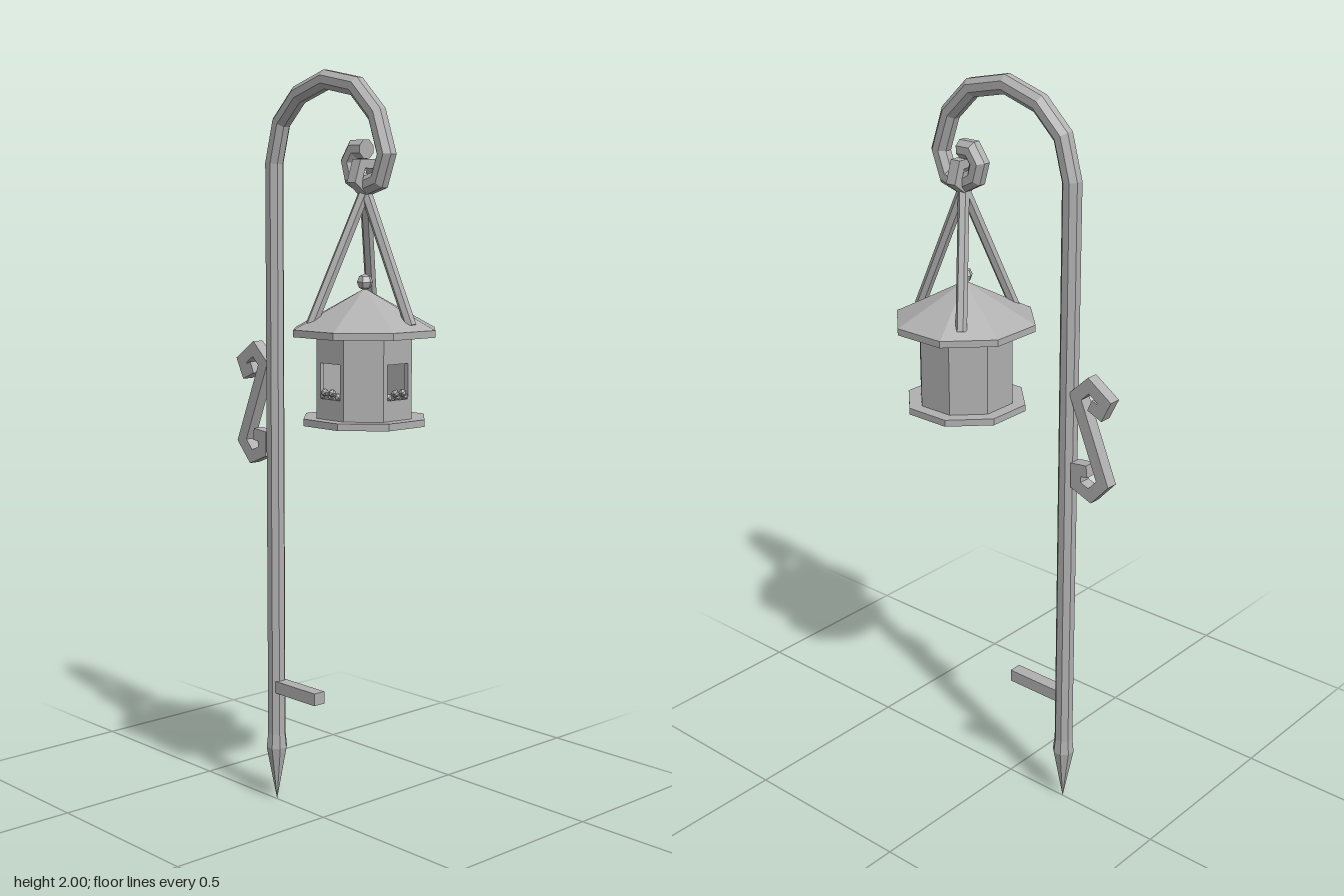
import * as THREE from 'three';

const metal = new THREE.MeshStandardMaterial({ color: 0xb0b0b0, flatShading: true });
metal.name = 'grey metal';

function add(parent, name, geometry, x = 0, y = 0, z = 0) {
  const mesh = new THREE.Mesh(geometry, metal);
  mesh.name = name;
  mesh.position.set(x, y, z);
  parent.add(mesh);
  return mesh;
}

// Sweeps a regular section along a flat path in the xy plane, with mitred corners
function sweep(path, sides, flatRadius) {
  const pts = path.map(([x, y]) => new THREE.Vector2(x, y));
  const radius = flatRadius / Math.cos(Math.PI / sides);
  const last = pts.length - 1;
  const pos = [], index = [];
  pts.forEach((p, i) => {
    const before = p.clone().sub(pts[Math.max(i - 1, 0)]).normalize();
    const after = pts[Math.min(i + 1, last)].clone().sub(p).normalize();
    const t = before.clone().add(after).normalize();
    const miter = 1 / Math.max(t.dot(i < last ? after : before), 0.6);
    for (let j = 0; j < sides; j++) {
      const a = ((j + 0.5) / sides) * Math.PI * 2;
      const n = Math.cos(a) * radius * miter;
      pos.push(p.x - t.y * n, p.y + t.x * n, Math.sin(a) * radius);
    }
  });
  for (let i = 0; i < last; i++) {
    for (let j = 0; j < sides; j++) {
      const k = (j + 1) % sides;
      const a = i * sides + j, b = i * sides + k;
      index.push(a, b, b + sides, a, b + sides, a + sides);
    }
  }
  const end = last * sides;
  for (let j = 1; j < sides - 1; j++) {
    index.push(0, j + 1, j, end, end + j, end + j + 1);
  }
  const g = new THREE.BufferGeometry();
  g.setAttribute('position', new THREE.Float32BufferAttribute(pos, 3));
  g.setIndex(index);
  g.computeVertexNormals();
  return g;
}

// Eight-sided slab or cone with a flat side to the front
function octagon(topApothem, bottomApothem, height) {
  const k = 1 / Math.cos(Math.PI / 8);
  return new THREE.CylinderGeometry(topApothem * k, bottomApothem * k, height, 8).rotateY(Math.PI / 8);
}

function polygon(Type, sides, radius, start) {
  return new Type(Array.from({ length: sides }, (_, i) => {
    const a = start + (i / sides) * Math.PI * 2;
    return new THREE.Vector2(Math.cos(a) * radius, Math.sin(a) * radius);
  }));
}

function rectangle(Type, x0, y0, x1, y1) {
  return new Type([[x0, y0], [x1, y0], [x1, y1], [x0, y1]].map(([x, y]) => new THREE.Vector2(x, y)));
}

function createStand() {
  const stand = new THREE.Group();
  stand.name = 'stand';
  const poleX = -0.193;

  // Pole running into the curled hook
  add(stand, 'poleAndHook', sweep([
    [poleX, 0.18], [poleX, 1.77], [-0.164, 1.875], [-0.093, 1.943], [0.013, 1.976],
    [0.124, 1.953], [0.198, 1.882], [0.233, 1.783], [0.209, 1.72], [0.161, 1.706],
    [0.114, 1.73], [0.103, 1.767], [0.124, 1.797], [0.161, 1.797],
  ], 8, 0.0235));

  // Ground spike with a flared collar
  const spike = [[0, 0], [0.03, 0.155], [0.0245, 0.205], [0, 0.205]];
  add(stand, 'groundSpike', new THREE.LatheGeometry(
    spike.map(([r, y]) => new THREE.Vector2(r, y)), 8).rotateY(Math.PI / 8), poleX);

  // Foot bar for pushing the spike in
  add(stand, 'footBar', new THREE.BoxGeometry(0.17, 0.034, 0.036), -0.1, 0.333, 0);

  // S-shaped scroll beside the pole
  add(stand, 'scroll', sweep([
    [-0.272, 1.22], [-0.302, 1.207], [-0.317, 1.237], [-0.267, 1.271], [-0.226, 1.232],
    [-0.317, 1.015], [-0.278, 0.972], [-0.232, 0.99], [-0.232, 1.032], [-0.267, 1.036],
  ], 4, 0.0165));
  return stand;
}

function createLantern() {
  const lantern = new THREE.Group();
  lantern.name = 'hangingFeeder';
  lantern.position.x = 0.157;

  // Five-sided hanging ring
  const ring = polygon(THREE.Shape, 5, 0.052, -Math.PI / 2);
  ring.holes.push(polygon(THREE.Path, 5, 0.024, -Math.PI / 2));
  add(lantern, 'hangingRing', new THREE.ExtrudeGeometry(ring, { depth: 0.03, bevelEnabled: false })
    .translate(0, 0, -0.015).rotateY(Math.PI / 2), 0, 1.73, 0);

  // Three rods from the ring down to the roof
  const top = new THREE.Vector3(0, 1.695, 0);
  for (let i = 0; i < 3; i++) {
    const a = THREE.MathUtils.degToRad(8 + i * 120);
    const foot = new THREE.Vector3(Math.cos(a) * 0.145, 1.36, -Math.sin(a) * 0.145);
    const dir = top.clone().sub(foot);
    const rod = add(lantern, 'hangingRod', new THREE.CylinderGeometry(0.015, 0.015, dir.length(), 6));
    rod.position.copy(top).add(foot).multiplyScalar(0.5);
    rod.quaternion.setFromUnitVectors(new THREE.Vector3(0, 1, 0), dir.normalize());
  }

  // Roof, eave, base and finial
  add(lantern, 'finial', new THREE.SphereGeometry(0.021, 6, 4), 0, 1.466, 0);
  add(lantern, 'roof', octagon(0.004, 0.178, 0.1), 0, 1.398, 0);
  add(lantern, 'eave', octagon(0.178, 0.178, 0.018), 0, 1.34, 0);
  add(lantern, 'base', octagon(0.153, 0.153, 0.018), 0, 1.114, 0);

  // Eight wall panels, two of them with a feeding window and seeds on the sill
  const half = 0.12 * Math.tan(Math.PI / 8);
  for (let i = 0; i < 8; i++) {
    const side = new THREE.Group();
    side.name = 'wallSide';
    side.rotation.y = (i * Math.PI) / 4;
    lantern.add(side);
    const panel = rectangle(THREE.Shape, -half, 1.12, half, 1.335);
    const open = i === 0 || i === 2;
    if (open) panel.holes.push(rectangle(THREE.Path, -0.036, 1.175, 0.036, 1.265));
    add(side, 'wallPanel', new THREE.ExtrudeGeometry(panel, { depth: 0.012, bevelEnabled: false }), 0, 0, 0.108);
    if (!open) continue;
    for (let s = 0; s < 5; s++) {
      add(side, 'seed', new THREE.IcosahedronGeometry(0.011, 0),
        (s - 2) * 0.0135, 1.183 + (s % 2) * 0.01, 0.116 + (s % 2) * 0.009);
    }
  }
  return lantern;
}

export function createModel() {
  const model = new THREE.Group();
  model.name = 'gardenFeederOnHook';
  model.add(createStand(), createLantern());
  return model;
}
